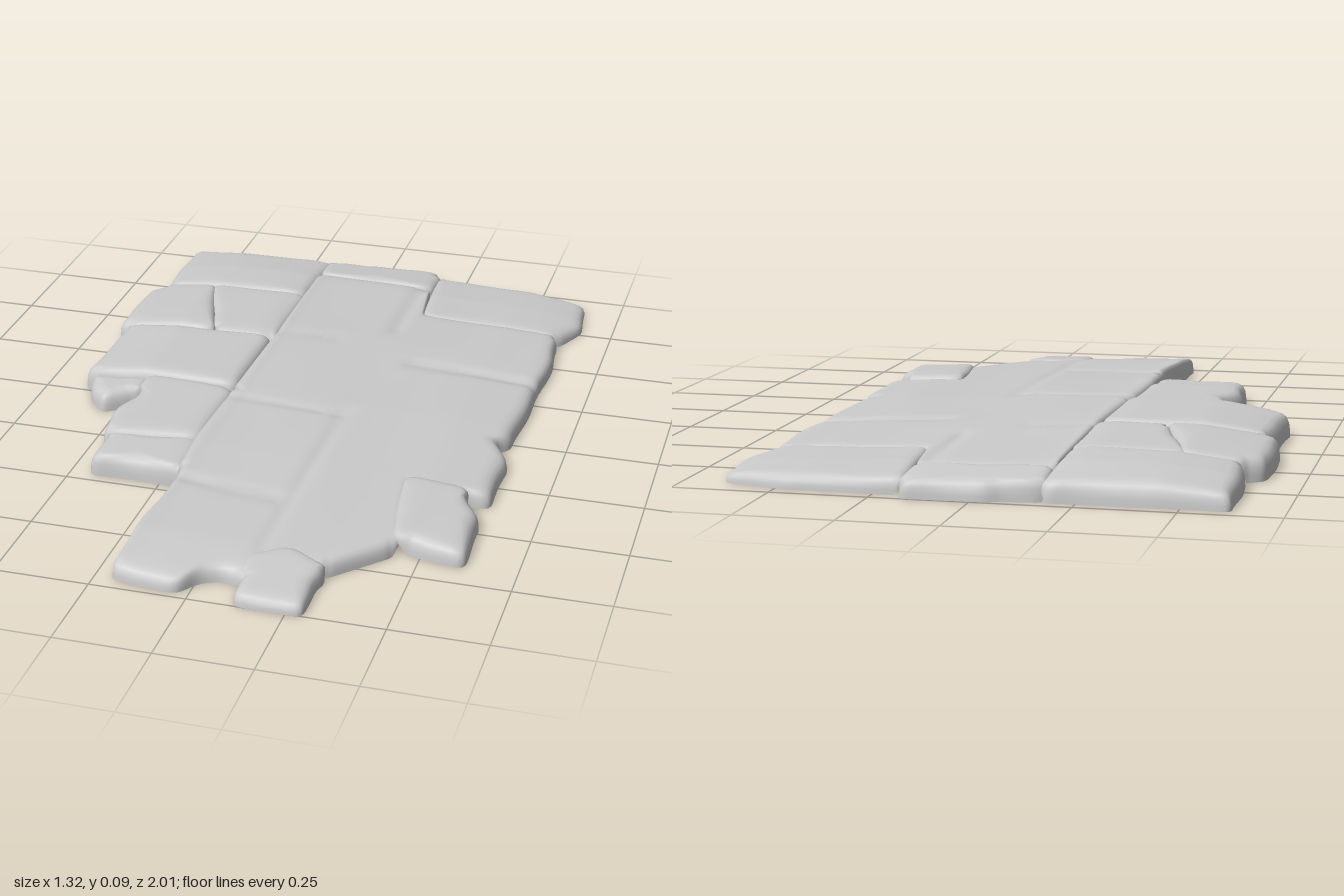
import * as THREE from 'three';

// The paving is a thin shell, open underneath
const material = new THREE.MeshStandardMaterial({ color: 0xcccccc, side: THREE.DoubleSide });
const BASE = 0.008;

// Piecewise-linear lookup through [position, value] pairs
function lookup(pairs, t) {
  if (t <= pairs[0][0]) return pairs[0][1];
  for (let i = 1; i < pairs.length; i++) {
    const [a, va] = pairs[i - 1], [b, vb] = pairs[i];
    if (t <= b) return THREE.MathUtils.lerp(va, vb, (t - a) / (b - a));
  }
  return pairs[pairs.length - 1][1];
}

// Gently crowned paving surface: height across x, scaled along z
const ACROSS = [[-0.66, 0.07], [-0.45, 0.099], [-0.22, 0.1], [-0.14, 0.09], [0.1, 0.082], [0.3, 0.071], [0.45, 0.067], [0.58, 0.057], [0.65, 0.045]];
const ALONG = [[-1, 0.62], [-0.8, 0.84], [-0.4, 0.97], [0, 1], [0.35, 0.94], [0.8, 0.75], [1, 0.5]];
const crown = (x, z) => lookup(ACROSS, x) * lookup(ALONG, z)
  + 0.0015 * Math.sin(11 * x + 3 * z) * Math.sin(9 * z - 4 * x);

// Shallow worn joints in the large slab: x1, z1, x2, z2, depth
const JOINTS = [
  [0.15, -0.84, 0.15, -0.5, 0.006], [0.15, 0.05, 0.13, 0.8, 0.004],
  [0.25, -0.3, 0.62, -0.3, 0.009], [-0.18, -0.37, 0.0, -0.39, 0.004],
  [-0.18, 0.07, 0.13, 0.08, 0.004], [-0.2, 0.53, 0.1, 0.56, 0.007],
];
function jointDepth(x, z) {
  let depth = 0;
  for (const [x1, z1, x2, z2, d] of JOINTS) {
    const dx = x2 - x1, dz = z2 - z1;
    const t = THREE.MathUtils.clamp(((x - x1) * dx + (z - z1) * dz) / (dx * dx + dz * dz), 0, 1);
    const gap = Math.hypot(x - x1 - t * dx, z - z1 - t * dz);
    depth += d * Math.exp(-((gap / 0.02) ** 2));
  }
  return depth;
}

// Whether a point falls inside a polygon
function inside(corners, x, z) {
  let hit = false;
  corners.forEach(([ax, az], i) => {
    const [bx, bz] = corners[(i + 1) % corners.length];
    if ((az > z) !== (bz > z) && x < ax + (bx - ax) * (z - az) / (bz - az)) hit = !hit;
  });
  return hit;
}

// Resample a closed outline evenly, soften its corners and close joints with
// neighbouring stones; gives [x, z, joined] for each point
function makeOutline(stone, stones) {
  const { corners } = stone;
  let pts = [];
  corners.forEach(([x, z], i) => {
    const [nx, nz] = corners[(i + 1) % corners.length];
    const steps = Math.max(1, Math.round(Math.hypot(nx - x, nz - z) / 0.016));
    for (let s = 0; s < steps; s++) pts.push([x + (nx - x) * s / steps, z + (nz - z) * s / steps]);
  });
  const around = (i) => [pts[(i + pts.length - 1) % pts.length], pts[(i + 1) % pts.length]];
  for (let pass = 0; pass < 2; pass++) {
    pts = pts.map((p, i) => {
      const [a, b] = around(i);
      return [0, 1].map(k => (a[k] + 2 * p[k] + b[k]) / 4);
    });
  }
  return pts.map(([x, z], i) => {
    const [a, b] = around(i);
    const len = Math.hypot(b[0] - a[0], b[1] - a[1]);
    const nx = (b[1] - a[1]) / len, nz = (a[0] - b[0]) / len;
    const joined = stones.some(s => s !== stone && inside(s.corners, x + nx * 0.03, z + nz * 0.03));
    const push = joined ? 0.007 : 0.003 * Math.sin(23 * z + 19 * x);
    return [x + nx * push, z + nz * push, joined];
  });
}

// Worn edge profile: inset distance, fraction of the height
const EDGE = [[0, 0], [0.001, 0.3], [0.004, 0.6], [0.011, 0.82], [0.021, 0.94], [0.036, 1]];
const JOINT_FOOT = 0.55;

// One stone: rings from the foot, round the worn edge and in to the centre
function makeStone(stone, stones) {
  const { name, scale = 1, centre, rings = 4, worn = false } = stone;
  const outline = makeOutline(stone, stones);
  const n = outline.length;
  const [cx, cz] = centre ?? [0, 1].map(k => outline.reduce((s, p) => s + p[k], 0) / n);
  const top = (x, z) => crown(x, z) * scale - (worn ? jointDepth(x, z) : 0);
  const pos = [], index = [];

  const addRing = (inset, rise, shrink) => {
    for (const [x, z, joined] of outline) {
      const r = Math.hypot(x - cx, z - cz);
      const f = (1 - Math.min(inset / r, 0.7)) * shrink;
      const px = cx + (x - cx) * f, pz = cz + (z - cz) * f;
      const lift = joined ? THREE.MathUtils.lerp(JOINT_FOOT, 1, rise) : rise;
      pos.push(px, BASE + (top(px, pz) - BASE) * lift, pz);
    }
  };
  for (const [inset, rise] of EDGE) addRing(inset, rise, 1);
  for (let k = 1; k < rings; k++) addRing(0.036, 1, 1 - k / rings);
  const total = EDGE.length + rings - 1;
  const last = total * n;
  pos.push(cx, top(cx, cz), cz);

  for (let i = 0; i < n; i++) {
    const j = (i + 1) % n;
    for (let r = 0; r < total - 1; r++) {
      const a = r * n + i, b = r * n + j;
      index.push(a, a + n, b, b, a + n, b + n);
    }
    index.push(last - n + i, last, last - n + j);
  }
  const geometry = new THREE.BufferGeometry();
  geometry.setAttribute('position', new THREE.Float32BufferAttribute(pos, 3));
  geometry.setIndex(index);
  geometry.computeVertexNormals();
  const mesh = new THREE.Mesh(geometry, material);
  mesh.name = name;
  return mesh;
}

export function createModel() {
  // Stone outlines as [x, z] corners, clockwise seen from above
  const stones = [];
  const lay = (name, corners, options) => stones.push({ name, corners, ...options });

  // Large worn slab running through the middle and right
  lay('mainSlab', [
    [-0.17, -0.85], [0.17, -0.85], [0.195, -0.65], [0.61, -0.645], [0.622, -0.5], [0.605, 0.03],
    [0.57, 0.06], [0.62, 0.15], [0.615, 0.365], [0.49, 0.37], [0.4, 0.36], [0.41, 0.5], [0.44, 0.67],
    [0.3, 0.82], [0.2, 0.84], [0.13, 0.92], [0.06, 0.9], [0.01, 0.92], [-0.03, 0.985], [-0.21, 0.965],
    [-0.185, 0.52], [-0.195, 0.3], [-0.17, -0.4],
  ], { centre: [0.1, 0.1], rings: 32, worn: true });

  // Back row
  lay('backLeftStone', [[-0.625, -0.97], [-0.4, -0.965], [-0.17, -0.975], [-0.175, -0.655], [-0.4, -0.65], [-0.615, -0.66]]);
  lay('backMiddleStone', [[-0.175, -0.97], [-0.06, -0.975], [-0.05, -0.99], [0.178, -1.005], [0.178, -0.845], [-0.17, -0.845]], { scale: 1.08 });
  lay('backRightStone', [[0.18, -0.96], [0.47, -0.965], [0.56, -0.935], [0.648, -0.92], [0.658, -0.76], [0.61, -0.645], [0.2, -0.645]]);

  // Left column, with the cracked stone in two parts
  lay('crackedStoneOuter', [[-0.657, -0.61], [-0.6, -0.655], [-0.455, -0.655], [-0.42, -0.53], [-0.355, -0.33], [-0.657, -0.33]]);
  lay('crackedStoneInner', [[-0.46, -0.655], [-0.17, -0.66], [-0.17, -0.325], [-0.355, -0.325], [-0.39, -0.45], [-0.425, -0.54]], { scale: 0.97 });
  lay('leftStone', [[-0.62, -0.325], [-0.18, -0.325], [-0.185, 0.01], [-0.5, 0.005], [-0.64, -0.01], [-0.63, -0.18]]);
  lay('leftFragment', [[-0.615, -0.01], [-0.44, -0.01], [-0.45, 0.06], [-0.54, 0.125], [-0.59, 0.07]], { scale: 0.72 });
  lay('frontLeftStone', [[-0.44, 0], [-0.3, 0], [-0.185, 0.02], [-0.19, 0.315], [-0.46, 0.345], [-0.475, 0.22], [-0.44, 0.13]], { scale: 0.9 });
  lay('frontLeftEdgeStone', [[-0.445, 0.335], [-0.185, 0.31], [-0.185, 0.475], [-0.445, 0.472]], { scale: 0.78 });

  // Front right pieces
  lay('frontRightStone', [[0.39, 0.355], [0.55, 0.36], [0.57, 0.42], [0.615, 0.47], [0.615, 0.675], [0.51, 0.665], [0.43, 0.645], [0.405, 0.5]], { scale: 1.2 });
  lay('frontFootStone', [[0.11, 0.83], [0.2, 0.77], [0.31, 0.83], [0.29, 0.88], [0.295, 1.005], [0.115, 1.0], [0.11, 0.94]], { scale: 1.1 });

  const group = new THREE.Group();
  group.name = 'brokenStonePaving';
  group.add(...stones.map(s => makeStone(s, stones)));
  return group;
}
